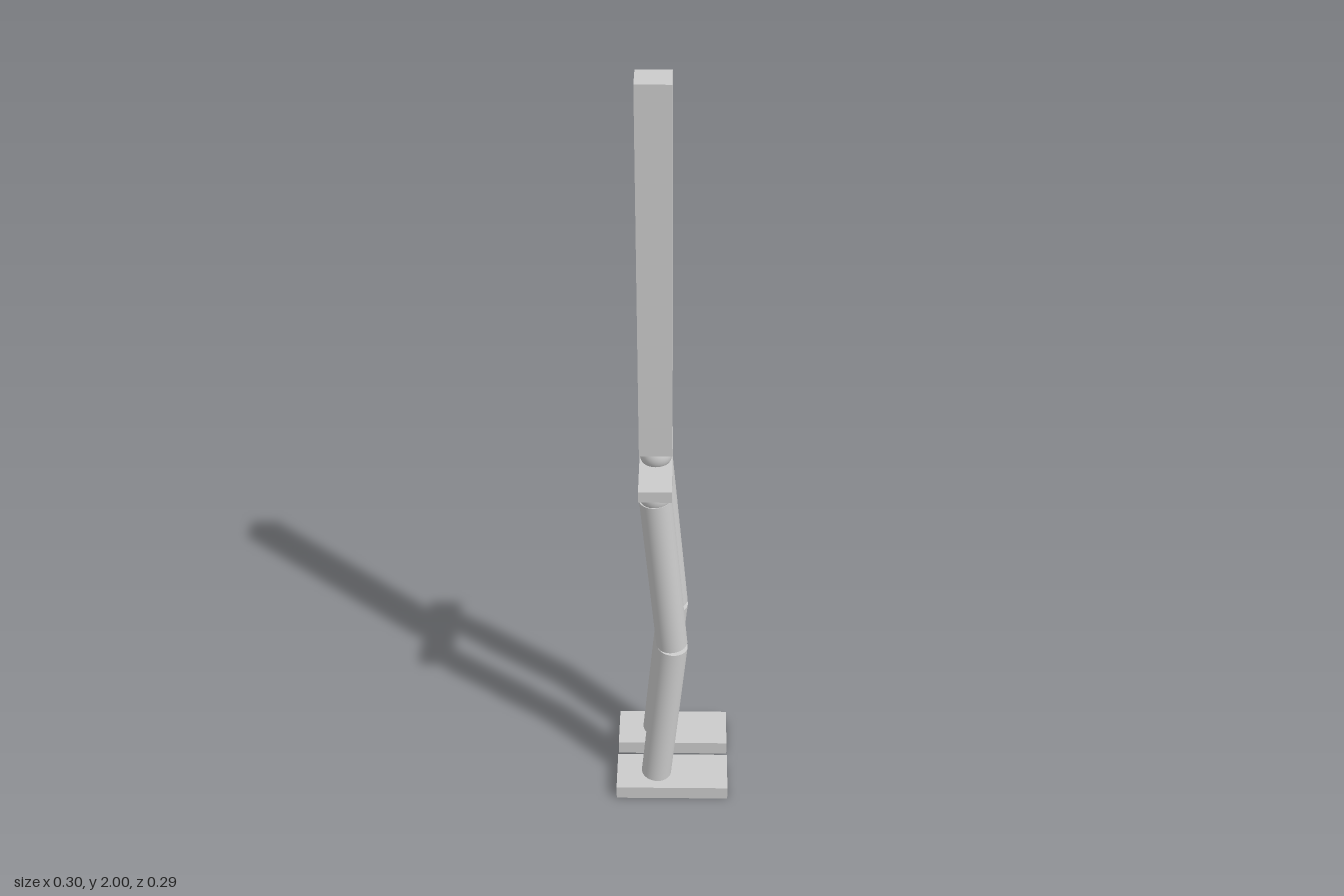
import * as THREE from 'three';

const R = 0.04; // shared limb and joint radius

export function createModel() {
  const group = new THREE.Group();
  const material = new THREE.MeshStandardMaterial({ color: 0xcccccc });

  function add(name, geometry, x, y, z) {
    const mesh = new THREE.Mesh(geometry, material);
    mesh.name = name;
    mesh.position.set(x, y, z);
    group.add(mesh);
    return mesh;
  }

  const box = (name, w, h, d, x, y, z) => add(name, new THREE.BoxGeometry(w, h, d), x, y, z);
  const joint = (name, x, y, z) => add(name, new THREE.SphereGeometry(R, 32, 20), x, y, z);

  // Capped cylinder from the lower to the upper end, in the plane of one leg
  function limb(name, x0, y0, x1, y1, z) {
    const length = Math.hypot(x1 - x0, y1 - y0);
    const mesh = add(name, new THREE.CylinderGeometry(R, R, length, 40), (x0 + x1) / 2, (y0 + y1) / 2, z);
    mesh.rotation.z = -Math.atan2(x1 - x0, y1 - y0);
  }

  // Upper body
  box('torso', 0.08, 0.935, 0.08, -0.04, 1.5325, 0);
  joint('waistJoint', -0.04, 1.048, 0);
  box('pelvis', 0.08, 0.03, 0.274, -0.04, 1.015, 0);

  // Legs, bent at the knee towards +x
  for (const [side, s] of [['front', 1], ['back', -1]]) {
    const z = s * 0.084;
    joint(side + 'HipJoint', -0.04, 0.985, z);
    limb(side + 'Thigh', -0.001, 0.51, -0.04, 0.972, z);
    limb(side + 'Shin', -0.043, 0.043, 0, 0.501, z);
    box(side + 'Foot', 0.3, 0.04, 0.124, 0, 0.02, z);
  }

  return group;
}
